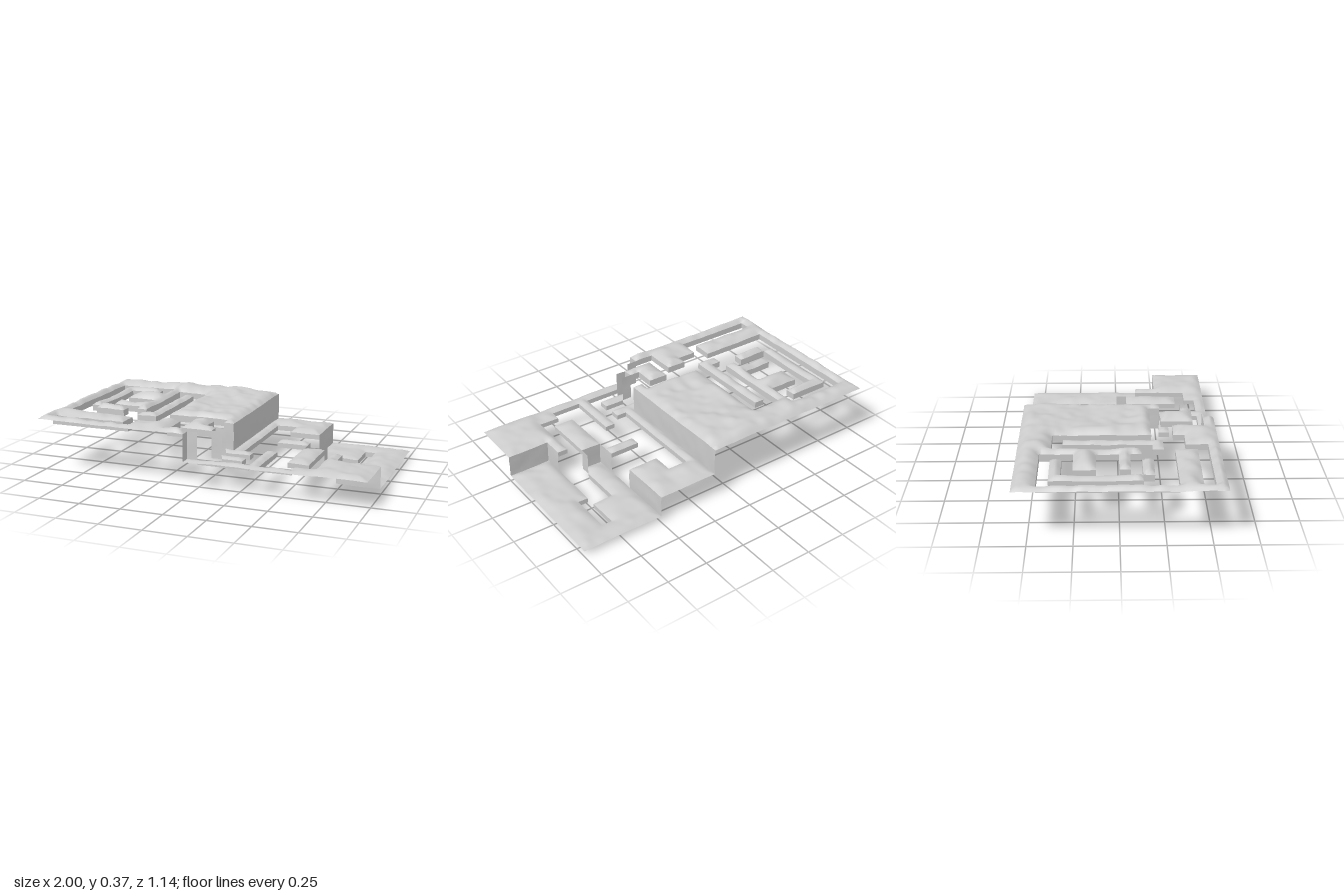
import * as THREE from 'three';

// Floor plan, back row first: A upper terrace, B middle terrace, C lower terrace, '.' opening
const PLAN = [
  'AAAAAAAAAAAAAAAAAABBBBBBCCCCCCCC',
  'AAAAAAAAAAAAAAAAAABBBBBBCCCCCCCC',
  'A......AAAAAAAAAAABBBBBBCCCC.CCC',
  'A.AAAA.A...AAAAAAAB..BBBCCCC.CCC',
  'A.A....A.A.AAAAAAAB..BBBCCCC.CCC',
  'A.A.AAAA.A.AAAAAAAB.....CC...CCC',
  'A.A.AAAA.A.AAAAAAAB.....CC..CCCC',
  'A.A....A.A.AAAAAAAB.....CC..CCCC',
  'A.A....A.A.AAAAAAAB..BBBCC..CCCC',
  'A.A.AAAA.A.AAAAAAAB.....CC..CCCC',
  'A.A....A.A.AAAAAAAB.....BB..CCCC',
  'A..AAA...A.AAAAAAAB.....BB.BCCCC',
  'A.......AA.......AB..B..BB.BCCCC',
  'A.............AA.BBB.B..BB.BBBBB',
  'AAAAAAAA...AA.AA.....B..BB.BBBBB',
  'AAAAAAAA.AAAA.AAABBB.B.....BBBBB',
  'A........AAAA........B...BBBBBBB',
  'AAAAAAAAAAAAAAABBBBBBBBBBBBBBBBB',
];
const COLS = 32, ROWS = 18, SUB = 4;
const LEVELS = {
  A: { name: 'upperTerrace', base: 0.315, bump: 0.054, hem: 0.288 },
  B: { name: 'middleTerrace', base: 0.157, bump: 0.036, hem: 0.135 },
  C: { name: 'lowerTerrace', base: 0.024, bump: 0.036, hem: 0 },
};
const toX = i => (i >= COLS ? 0.995 : -1 + 0.0621 * i);
const toZ = j => (j - ROWS / 2) * 0.0635;
const cell = (i, j) => (PLAN[j] && PLAN[j][i]) || null;

// Smooth seeded value noise in the range 0..1
function hash(a, b) {
  const s = Math.sin(a * 127.1 + b * 311.7 + 9.2) * 43758.5453;
  return s - Math.floor(s);
}
function noise(x, z) {
  const a = Math.floor(x), b = Math.floor(z);
  const u = THREE.MathUtils.smoothstep(x - a, 0, 1), v = THREE.MathUtils.smoothstep(z - b, 0, 1);
  const mix = THREE.MathUtils.lerp;
  return mix(mix(hash(a, b), hash(a + 1, b), u), mix(hash(a, b + 1), hash(a + 1, b + 1), u), v);
}

// Distance in cells, at most 1, to the nearest edge of a level
function edgeDistance(level, i, j) {
  let best = 1;
  for (let c = Math.floor(i) - 1; c <= Math.floor(i) + 1; c++) {
    for (let r = Math.floor(j) - 1; r <= Math.floor(j) + 1; r++) {
      if (cell(c, r) === level) continue;
      best = Math.min(best, Math.hypot(Math.max(c - i, 0, i - c - 1), Math.max(r - j, 0, j - r - 1)));
    }
  }
  return best;
}

// Bumpy ground height, rounded down towards every edge, with a shallow hollow in the plateau
function ground(level, i, j) {
  const L = LEVELS[level];
  const n = 0.65 * noise(i * 0.5, j * 0.5) + 0.35 * noise(i * 1.2 + 40, j * 1.2);
  const d = edgeDistance(level, i, j);
  let swell = L.bump * (0.3 + 0.7 * n);
  if (level === 'A') {
    swell += 0.012 * Math.max(0, 1 - j / 5);
    swell -= 0.015 * Math.max(0, 1 - Math.hypot(i - 14.5, j - 7.5) / 3);
  }
  return L.base + swell * (0.3 + 0.7 * d * (2 - d));
}

function toMesh(name, pos, index, material) {
  const geo = new THREE.BufferGeometry();
  geo.setAttribute('position', new THREE.Float32BufferAttribute(pos, 3));
  geo.setIndex(index);
  geo.computeVertexNormals();
  const mesh = new THREE.Mesh(geo, material);
  mesh.name = name;
  return mesh;
}

// Ground surface of one level, with neighbouring cells sharing vertices
function buildFloor(level, material) {
  const pos = [], index = [], known = new Map();
  const vertex = (a, b) => {
    const key = a + ',' + b;
    if (!known.has(key)) {
      known.set(key, pos.length / 3);
      const i = a / SUB, j = b / SUB;
      pos.push(toX(i), ground(level, i, j), toZ(j));
    }
    return known.get(key);
  };
  for (let b = 0; b < ROWS * SUB; b++) for (let a = 0; a < COLS * SUB; a++) {
    if (cell(Math.floor(a / SUB), Math.floor(b / SUB)) !== level) continue;
    const p = vertex(a, b), q = vertex(a, b + 1), r = vertex(a + 1, b + 1), s = vertex(a + 1, b);
    index.push(p, q, r, p, r, s);
  }
  return toMesh('ground', pos, index, material);
}

// Vertical strip between two grid points, from a top rule to a bottom rule
function addWall(store, from, to, top, bottom, rows, rough) {
  const start = store.pos.length / 3;
  for (let k = 0; k <= SUB; k++) {
    const i = from[0] + (to[0] - from[0]) * k / SUB, j = from[1] + (to[1] - from[1]) * k / SUB;
    for (let r = 0; r <= rows; r++) {
      const y = THREE.MathUtils.lerp(top(i, j), bottom(i, j), r / rows);
      const push = rough * Math.sin(Math.PI * r / rows) * (noise(i + j * 0.9, y * 30) - 0.3);
      store.pos.push(toX(i) + push, y, toZ(j) + push);
      if (k < SUB && r < rows) {
        const p = start + k * (rows + 1) + r, q = p + rows + 1;
        store.index.push(p, p + 1, q + 1, p, q + 1, q);
      }
    }
  }
}

// Side directions: neighbour offset and the two end corners of the shared edge
const SIDES = [
  { d: [0, 1], a: [0, 1], b: [1, 1] },
  { d: [1, 0], a: [1, 1], b: [1, 0] },
  { d: [0, -1], a: [1, 0], b: [0, 0] },
  { d: [-1, 0], a: [0, 0], b: [0, 1] },
];

// Higher level flanking an open side of a cell; the outer corner of a cliff does not count
function flankingLevel(level, i, j, n) {
  const open = SIDES[n].d;
  for (const t of [1, 3]) {
    const d = SIDES[(n + t) % 4].d, c = cell(i + d[0], j + d[1]);
    const beyond = cell(i + d[0] - open[0], j + d[1] - open[1]);
    if (c && c !== '.' && c < level && beyond !== level) return c;
  }
  return null;
}

export function createModel() {
  const model = new THREE.Group();
  model.name = 'terracedGround';
  const material = new THREE.MeshStandardMaterial({ color: 0xcccccc, side: THREE.DoubleSide });
  for (const level of 'ABC') {
    const group = new THREE.Group();
    group.name = LEVELS[level].name;
    const hem = { pos: [], index: [] }, cliff = { pos: [], index: [] };
    const here = (u, v) => ground(level, u, v);
    for (let j = 0; j < ROWS; j++) for (let i = 0; i < COLS; i++) {
      if (cell(i, j) !== level) continue;
      SIDES.forEach((side, n) => {
        const next = cell(i + side.d[0], j + side.d[1]);
        const from = [i + side.a[0], j + side.a[1]], to = [i + side.b[0], j + side.b[1]];
        if (next === '.') {
          // A cell at a cliff foot is flanked by a full-height wall, otherwise by a short hem
          const higher = flankingLevel(level, i, j, n);
          if (higher) addWall(cliff, from, to, (u, v) => ground(higher, u, v), here, 4, 0.006);
          else addWall(hem, from, to, here, () => LEVELS[level].hem, 1, 0);
        } else if (next && next > level) {
          // Cliff down to the next terrace
          addWall(cliff, from, to, here, (u, v) => ground(next, u, v), 4, 0.006);
        }
      });
    }
    group.add(buildFloor(level, material), toMesh('openingEdges', hem.pos, hem.index, material));
    if (cliff.index.length) group.add(toMesh('cliffs', cliff.pos, cliff.index, material));
    model.add(group);
  }
  return model;
}
